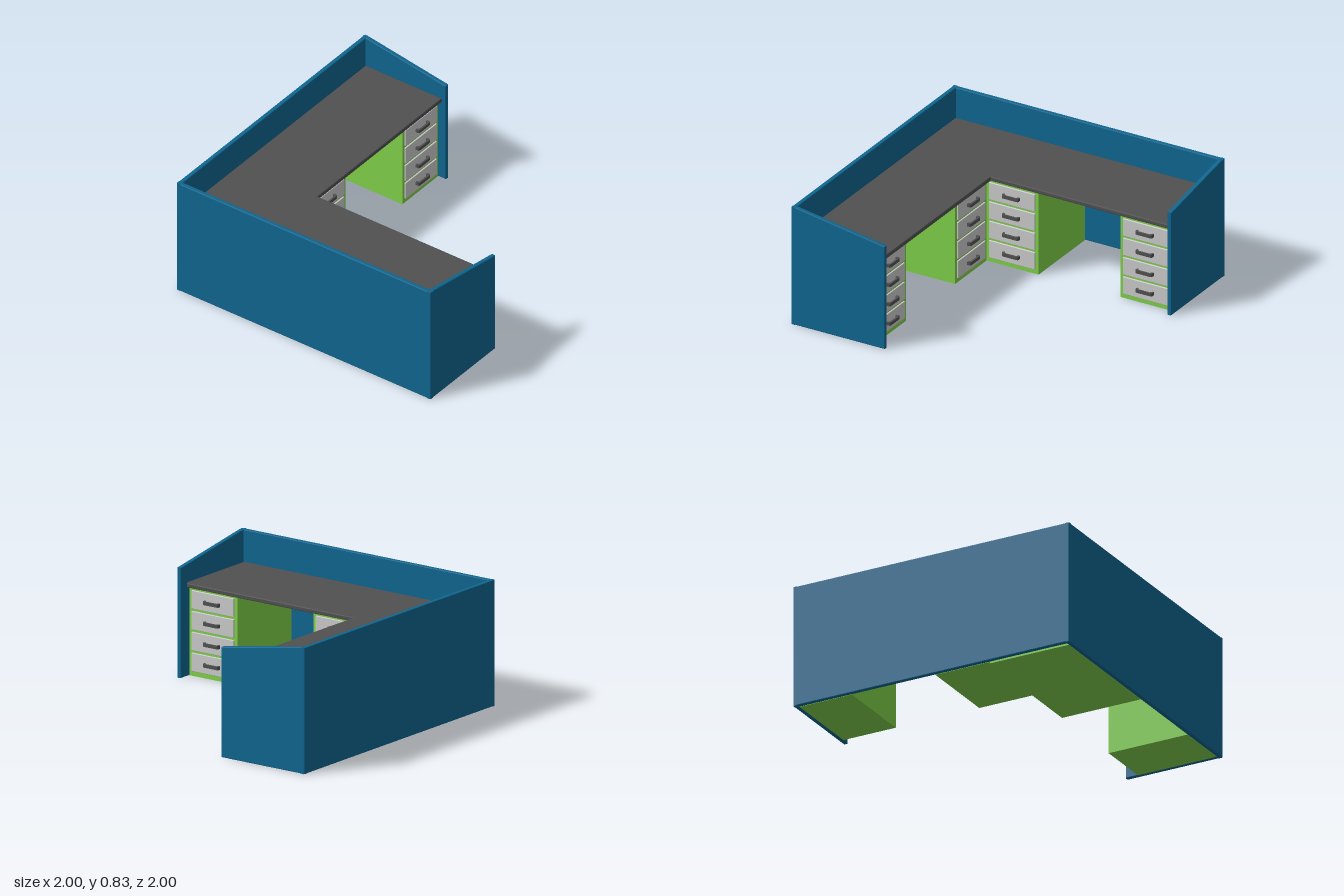
import * as THREE from 'three';
import { RoundedBoxGeometry } from 'three/addons/geometries/RoundedBoxGeometry.js';

const mat = (color) => new THREE.MeshStandardMaterial({ color });
const blue = mat(0x0f6690), green = mat(0x7fd04a), dark = mat(0x505050), grey = mat(0xcccccc);

const HEIGHT = 0.83, LOW = 0.725, WALL = 0.03;
const DESK_BOTTOM = 0.59, DESK_TOP = 0.62;

function add(parent, name, geometry, material, x = 0, y = 0, z = 0) {
  const mesh = new THREE.Mesh(geometry, material);
  mesh.name = name;
  mesh.position.set(x, y, z);
  parent.add(mesh);
  return mesh;
}

// Extruded outline with a small bevel that stays inside the outline
function slab(points, depth, bevel) {
  const shape = new THREE.Shape(points.map(([x, y]) => new THREE.Vector2(x, y)));
  const geometry = new THREE.ExtrudeGeometry(shape, {
    depth: depth - 2 * bevel, bevelEnabled: true, bevelSize: bevel,
    bevelThickness: bevel, bevelOffset: -bevel, bevelSegments: 2,
  });
  return geometry.translate(0, 0, bevel);
}

// Bridge-shaped drawer pull
function handleGeometry() {
  const w = 0.062, t = 0.012, out = 0.028;
  const shape = new THREE.Shape();
  shape.moveTo(-w, 0);
  shape.lineTo(-w, out * 0.6);
  shape.quadraticCurveTo(-w, out, -w + 0.018, out);
  shape.lineTo(w - 0.018, out);
  shape.quadraticCurveTo(w, out, w, out * 0.6);
  shape.lineTo(w, 0);
  shape.lineTo(w - t, 0);
  shape.lineTo(w - t - 0.008, out - t);
  shape.lineTo(-w + t + 0.008, out - t);
  shape.lineTo(-w + t, 0);
  const geometry = new THREE.ExtrudeGeometry(shape, { depth: 0.022, bevelEnabled: false, curveSegments: 5 });
  return geometry.translate(0, 0, -0.011).rotateX(Math.PI / 2);
}

// Four-drawer cabinet; its front is the local z = 0 plane, facing +z
function makeCabinet(name, width, depth) {
  const cabinet = new THREE.Group();
  cabinet.name = name;
  add(cabinet, 'cabinetBody', new THREE.BoxGeometry(width, DESK_BOTTOM, depth), green, 0, DESK_BOTTOM / 2, -depth / 2);
  const front = new RoundedBoxGeometry(width - 0.045, 0.122, 0.02, 2, 0.004);
  const pull = handleGeometry();
  for (let i = 0; i < 4; i++) {
    const y = 0.093 + i * 0.137;
    add(cabinet, 'drawerFront', front, grey, 0, y, 0);
    add(cabinet, 'drawerHandle', pull, dark, 0, y, 0.009);
  }
  return cabinet;
}

export function createModel() {
  const model = new THREE.Group();
  model.name = 'cornerDesk';

  // Privacy walls: two full ones, two short ones with a sloping top
  const full = [[-1, 0], [1, 0], [1, HEIGHT], [-1, HEIGHT]];
  add(model, 'frontWall', slab(full, WALL, 0.005), blue, 0, 0, 1 - WALL);
  add(model, 'rightWall', slab(full, WALL, 0.005), blue, -1 + WALL).rotation.y = -Math.PI / 2;
  const backWall = [[-1, 0], [-0.34, 0], [-0.34, LOW], [-0.96, HEIGHT], [-1, HEIGHT]];
  add(model, 'backWall', slab(backWall, WALL, 0.005), blue, 0, 0, -1);
  const leftWall = [[0.31, 0], [1, 0], [1, HEIGHT], [0.96, HEIGHT], [0.31, LOW]];
  add(model, 'leftWall', slab(leftWall, WALL, 0.005), blue, 1).rotation.y = -Math.PI / 2;

  // L-shaped desktop, drawn in x and z, then laid flat
  const outline = [
    [-0.97, -0.97], [-0.37, -0.97], [-0.37, 0.35], [0.94, 0.35],
    [0.957, 0.357], [0.968, 0.38], [0.968, 0.97], [-0.97, 0.97],
  ];
  const top = slab(outline, DESK_TOP - DESK_BOTTOM, 0.006).rotateX(Math.PI / 2);
  add(model, 'desktop', top, dark, 0, DESK_TOP);

  // Cabinets: [name, width, depth, x, z, turn]
  const cabinets = [
    ['backCabinet', 0.38, 0.57, -0.4, -0.78, Math.PI / 2],
    ['rightCornerCabinet', 0.385, 0.57, -0.4, 0.2075, Math.PI / 2],
    ['frontCornerCabinet', 0.385, 0.57, -0.2075, 0.4, Math.PI],
    ['leftCabinet', 0.38, 0.57, 0.78, 0.4, Math.PI],
  ];
  for (const [name, width, depth, x, z, turn] of cabinets) {
    const cabinet = makeCabinet(name, width, depth);
    cabinet.position.set(x, 0, z);
    cabinet.rotation.y = turn;
    model.add(cabinet);
  }

  // Closed body filling the corner between the two inner cabinets
  add(model, 'cornerBody', new THREE.BoxGeometry(0.55, DESK_BOTTOM, 0.57), green, -0.675, DESK_BOTTOM / 2, 0.685);

  return model;
}
